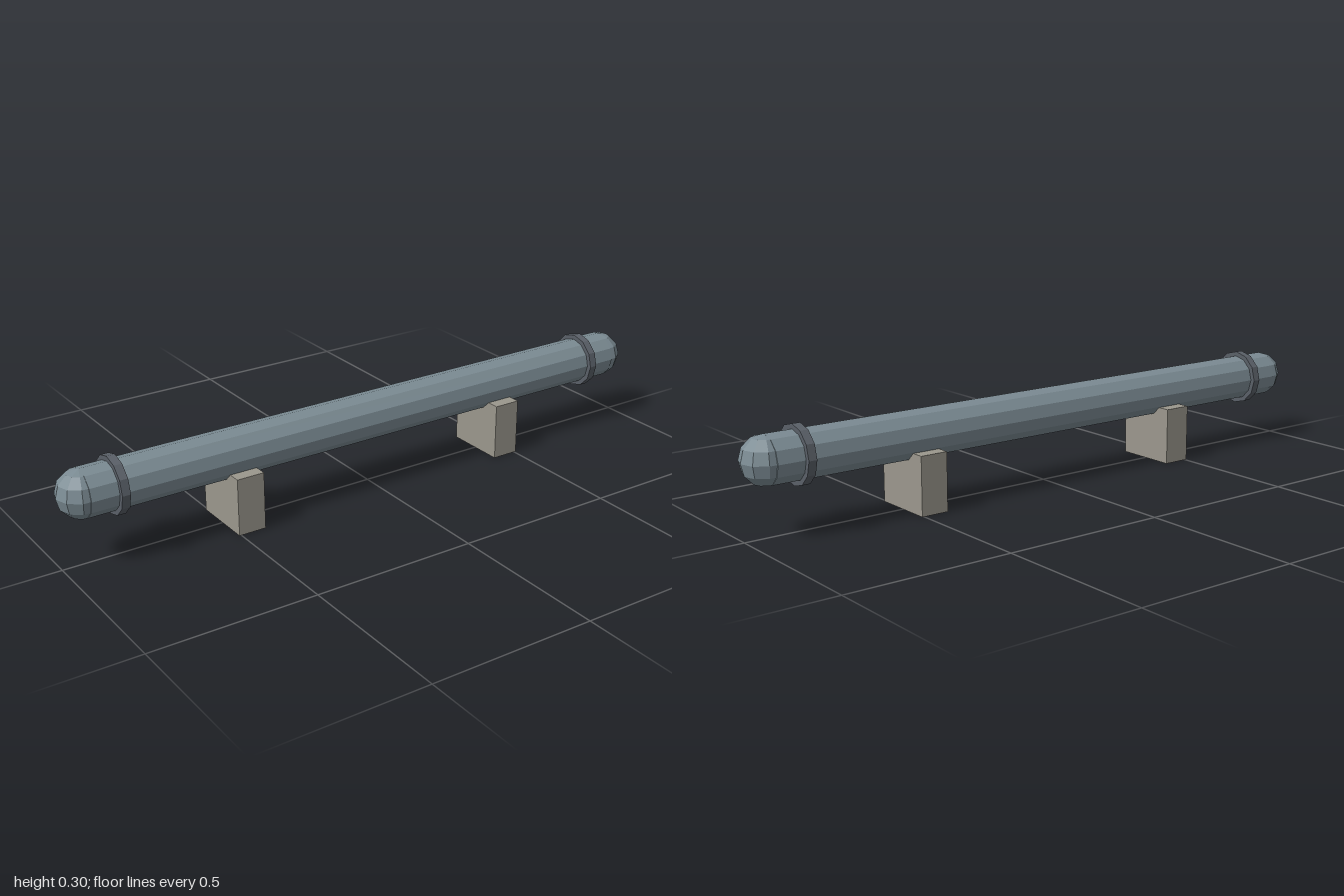
import * as THREE from 'three';

export function createModel() {
  const mat = (name, color) => {
    const m = new THREE.MeshStandardMaterial({ color, flatShading: true });
    m.name = name;
    return m;
  };
  const steel = mat('blue grey steel', 0x7b8b93);
  const darkSteel = mat('dark steel', 0x5a6068);
  const concrete = mat('concrete', 0x9b978d);

  const model = new THREE.Group();
  model.name = 'pipeOnSupports';
  const add = (name, geometry, material, x, y) => {
    const mesh = new THREE.Mesh(geometry, material);
    mesh.name = name;
    mesh.position.set(x, y, 0);
    model.add(mesh);
  };

  const axisY = 0.214, radius = 0.0715, capX = 1 - radius;

  // A twelve-sided cylinder lying along x
  const lying = (r, length) =>
    new THREE.CylinderGeometry(r, r, length, 12).rotateZ(Math.PI / 2);

  add('pipe', lying(radius, 2 * capX), steel, 0, axisY);

  for (const [side, s] of [['left', 1], ['right', -1]]) {
    // Rounded end, flange ring and support block
    add(side + 'EndCap', new THREE.SphereGeometry(radius, 10, 6), steel, s * capX, axisY);
    add(side + 'Flange', lying(0.086, 0.025), darkSteel, s * 0.834, axisY);
    add(side + 'Support', new THREE.BoxGeometry(0.086, 0.175, 0.197), concrete, s * 0.463, 0.0875);
  }
  return model;
}
